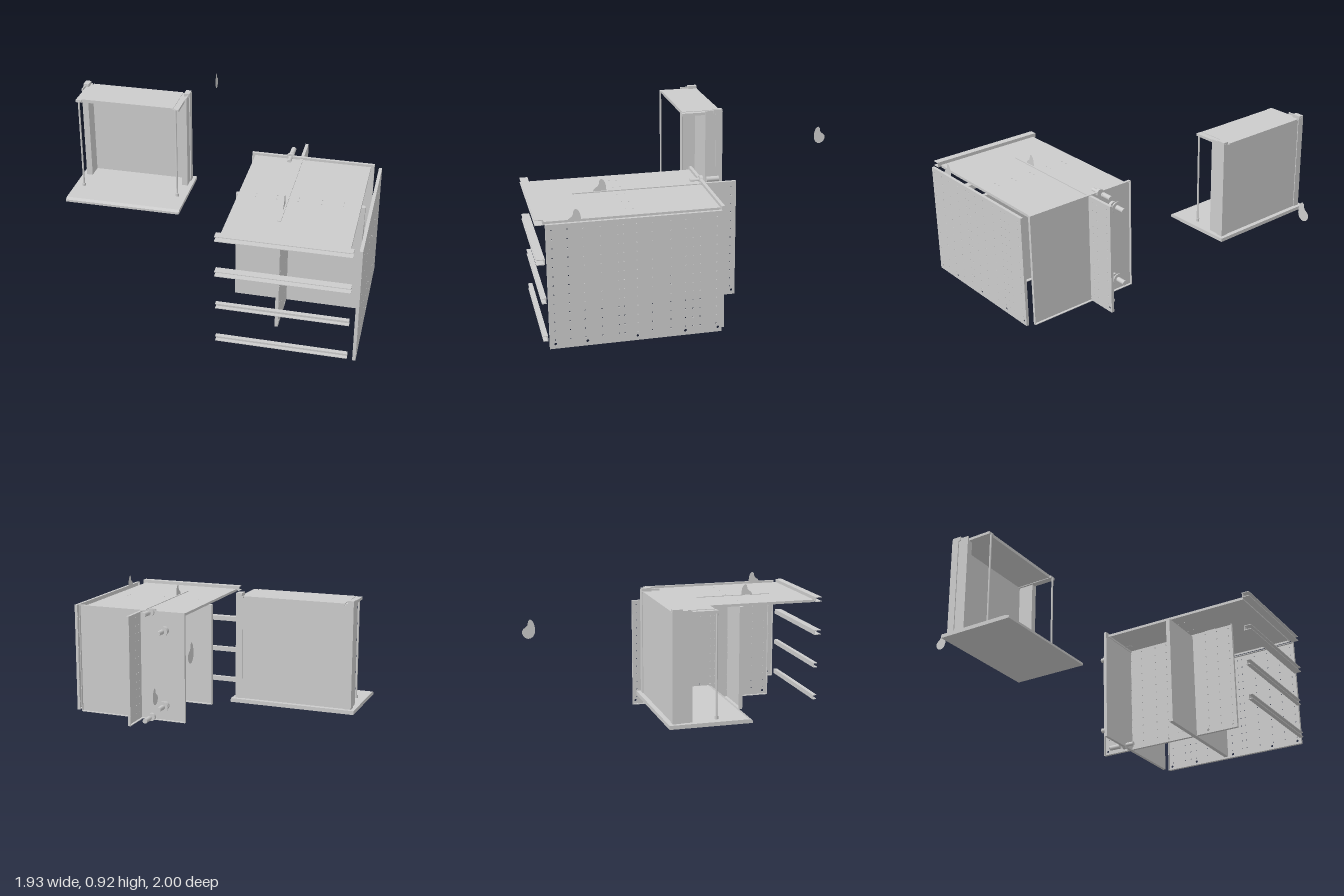
import * as THREE from 'three';

const mat = new THREE.MeshStandardMaterial({ color: 0xcccccc, side: THREE.DoubleSide });

function add(parent, name, geo, x = 0, y = 0, z = 0) {
  const m = new THREE.Mesh(geo, mat);
  m.name = name;
  m.position.set(x, y, z);
  parent.add(m);
  return m;
}

// box given by its two extreme corners
function block(parent, name, x0, x1, y0, y1, z0, z1) {
  return add(parent, name, new THREE.BoxGeometry(x1 - x0, y1 - y0, z1 - z0),
    (x0 + x1) / 2, (y0 + y1) / 2, (z0 + z1) / 2);
}

// folded sheet in the XY plane: face at z = 0, rims folded back to -depth
function tray(parent, name, x0, x1, y0, y1, depth, holes = []) {
  const g = new THREE.Group();
  g.name = name;
  const t = 0.004;
  const s = new THREE.Shape([[x0, y0], [x1, y0], [x1, y1], [x0, y1]].map(p => new THREE.Vector2(...p)));
  for (const [x, y, r] of holes) {
    s.holes.push(new THREE.Path().absarc(x, y, r, 0, Math.PI * 2, true));
  }
  add(g, name + 'Face', new THREE.ExtrudeGeometry(s, { depth: t, bevelEnabled: false, curveSegments: 6 }), 0, 0, -t);
  block(g, name + 'Rim', x0, x1, y0, y0 + t, -depth, -t);
  block(g, name + 'Rim', x0, x1, y1 - t, y1, -depth, -t);
  block(g, name + 'Rim', x0, x0 + t, y0, y1, -depth, -t);
  block(g, name + 'Rim', x1 - t, x1, y0, y1, -depth, -t);
  parent.add(g);
  return g;
}

// perforated upright panel, parallel to the side of the cabinet
function sidePanel(parent, name, x, zBack, zFront) {
  const holes = [];
  const columns = [0.9, 0.82, 0.74, 0.65, 0.56, 0.53, 0.46, 0.38, 0.28, 0.2, 0.16, 0.12, 0.03];
  for (const c of columns) {
    for (let i = 0; i < 13; i++) holes.push([-(zBack + c), 0.06 + i * 0.051, 0.0035]);
  }
  for (const c of [0.02, 0.2, 0.46, 0.73, 0.9]) holes.push([-(zBack + c), 0.036, 0.008]);
  const p = tray(parent, name, -zFront, -zBack, 0.01, 0.702, 0.018, holes);
  p.rotation.y = Math.PI / 2;
  p.position.x = x;
}

// thin comma-shaped plate lying in a plane of constant x
function hook(parent, x, y, z, flip = 1) {
  const s = new THREE.Shape();
  s.moveTo(0.037, 0);
  s.bezierCurveTo(0.037, -0.025, 0.02, -0.045, 0, -0.045);
  s.bezierCurveTo(-0.022, -0.045, -0.037, -0.025, -0.037, -0.005);
  s.bezierCurveTo(-0.035, 0.022, -0.005, 0.015, -0.003, 0.045);
  s.quadraticCurveTo(-0.003, 0.058, 0.008, 0.064);
  s.bezierCurveTo(0.026, 0.064, 0.037, 0.035, 0.037, 0);
  const m = add(parent, 'hookPlate', new THREE.ShapeGeometry(s, 10), x, y, z);
  m.rotation.y = flip * Math.PI / 2;
}

// knob on a collar with a stem, pointing backwards
function knob(parent, x, y, stem) {
  const g = new THREE.Group();
  g.name = 'knob';
  const part = (name, r, z0, z1) =>
    add(g, name, new THREE.CylinderGeometry(r, r, z1 - z0, 20).rotateX(Math.PI / 2), 0, 0, (z0 + z1) / 2);
  part('knobGrip', 0.015, -0.105, -0.035);
  part('knobCollar', stem ? 0.016 : 0.034, -0.041, -0.033);
  part('knobWasher', 0.025, -0.01, 0.009);
  if (stem) part('knobStem', 0.012, 0, 0.062);
  g.position.set(x, y, z0Back);
  parent.add(g);
}
const z0Back = 0;

function buildCabinet() {
  const g = new THREE.Group();
  g.name = 'cabinet';
  sidePanel(g, 'sidePanel', 0.96, 0.02, 0.95);
  sidePanel(g, 'divider', 0.496, -0.188, 0.742);

  // top sheet with two rows of screw holes
  const holes = [];
  for (const x of [0.31, 0.43, 0.55, 0.68, 0.8]) for (const z of [0.465, 0.505]) holes.push([x, -z, 0.004]);
  const top = tray(g, 'topPanel', 0.21, 0.895, -0.95, -0.015, 0.016, holes);
  top.rotation.x = -Math.PI / 2;
  top.position.y = 0.697;

  // middle partition with a round vent, and rear panel
  const vent = [];
  for (let ring = 1; ring <= 3; ring++) {
    for (let i = 0; i < ring * 6; i++) {
      const a = i * Math.PI / (3 * ring);
      vent.push([0.55 + ring * 0.014 * Math.cos(a), 0.64 + ring * 0.014 * Math.sin(a), 0.003]);
    }
  }
  tray(g, 'partition', 0.19, 0.915, 0.01, 0.68, 0.025, vent).position.z = 0.465;
  tray(g, 'rearPanel', 0.19, 0.915, 0.01, 0.71, 0.018).position.z = 0.012;

  // four front rails, each an open channel
  [[0.685, 0.998], [0.468, 0.998], [0.25, 0.978], [0.035, 0.978]].forEach(([y, zf]) => {
    const r = new THREE.Group();
    r.name = 'frontRail';
    const zb = 0.953, h = 0.031, t = 0.004;
    block(r, 'railWeb', 0.19, 0.915, y, y + h, zb, zb + t);
    block(r, 'railFlange', 0.19, 0.915, y, y + t, zb, zf);
    block(r, 'railFlange', 0.19, 0.915, y + h - t, y + h, zb, zf);
    for (const x of [0.25, 0.545, 0.86]) {
      add(r, 'railScrew', new THREE.CylinderGeometry(0.006, 0.006, 0.006, 12).rotateX(Math.PI / 2), x, y + h / 2, zb + t);
    }
    g.add(r);
  });

  knob(g, 0.42, 0.7, true);
  knob(g, 0.325, 0.59, false);
  knob(g, 0.42, 0.025, true);
  knob(g, 0.325, 0.11, false);
  hook(g, 0.38, 0.16, -0.03);
  hook(g, 0.487, 0.705, 0.59);
  hook(g, 0.94, 0.705, 0.8);
  return g;
}

function buildDrawer() {
  const g = new THREE.Group();
  g.name = 'drawer';
  const half = 0.363;

  // front board lying flat, with one bevelled edge
  const s = new THREE.Shape([[0.342, 0.286], [0.342, 0.308], [-0.098, 0.308], [-0.12, 0.3], [-0.12, 0.286]]
    .map(p => new THREE.Vector2(...p)));
  const board = add(g, 'frontBoard', new THREE.ExtrudeGeometry(s, { depth: half * 2, bevelEnabled: false }), -half);
  board.rotation.y = Math.PI / 2;

  block(g, 'drawerBottom', -0.31, 0.31, 0.308, 0.895, -0.315, -0.305);
  block(g, 'drawerBack', -0.29, 0.29, 0.89, 0.905, -0.315, -0.075);
  block(g, 'drawerBackLip', -0.29, 0.29, 0.885, 0.905, -0.08, -0.073);

  for (const k of [-1, 1]) {
    const side = (name, a, b, ...rest) => block(g, name, Math.min(k * a, k * b), Math.max(k * a, k * b), ...rest);
    // folded side wall
    side('sideInner', 0.298, 0.306, 0.308, 0.9, -0.315, -0.21);
    side('sideOuter', 0.328, 0.336, 0.308, 0.912, -0.32, -0.21);
    side('sideCap', 0.298, 0.336, 0.308, 0.9, -0.218, -0.21);
    // runner under the side
    side('runner', 0.3, 0.34, 0.308, 0.905, -0.32, -0.312);
    side('runnerLip', 0.334, 0.342, 0.308, 0.91, -0.32, -0.275);
    // rear bracket and catch
    side('rearBracket', 0.286, 0.325, 0.886, 0.902, -0.31, -0.065);
    side('catch', 0.308, 0.342, 0.895, 0.921, -0.318, -0.262);
    // gallery rod
    add(g, 'galleryRod', new THREE.CylinderGeometry(0.006, 0.006, 0.59, 12), k * 0.306, 0.6, -0.067);
    add(g, 'rodFoot', new THREE.CylinderGeometry(0.011, 0.011, 0.02, 12), k * 0.306, 0.316, -0.067);
  }
  g.position.x = -0.605;
  return g;
}

export function createModel() {
  const model = new THREE.Group();
  model.name = 'explodedCabinet';
  model.add(buildCabinet(), buildDrawer());
  hook(model, -0.255, 0.705, -0.962, -1);
  return model;
}
